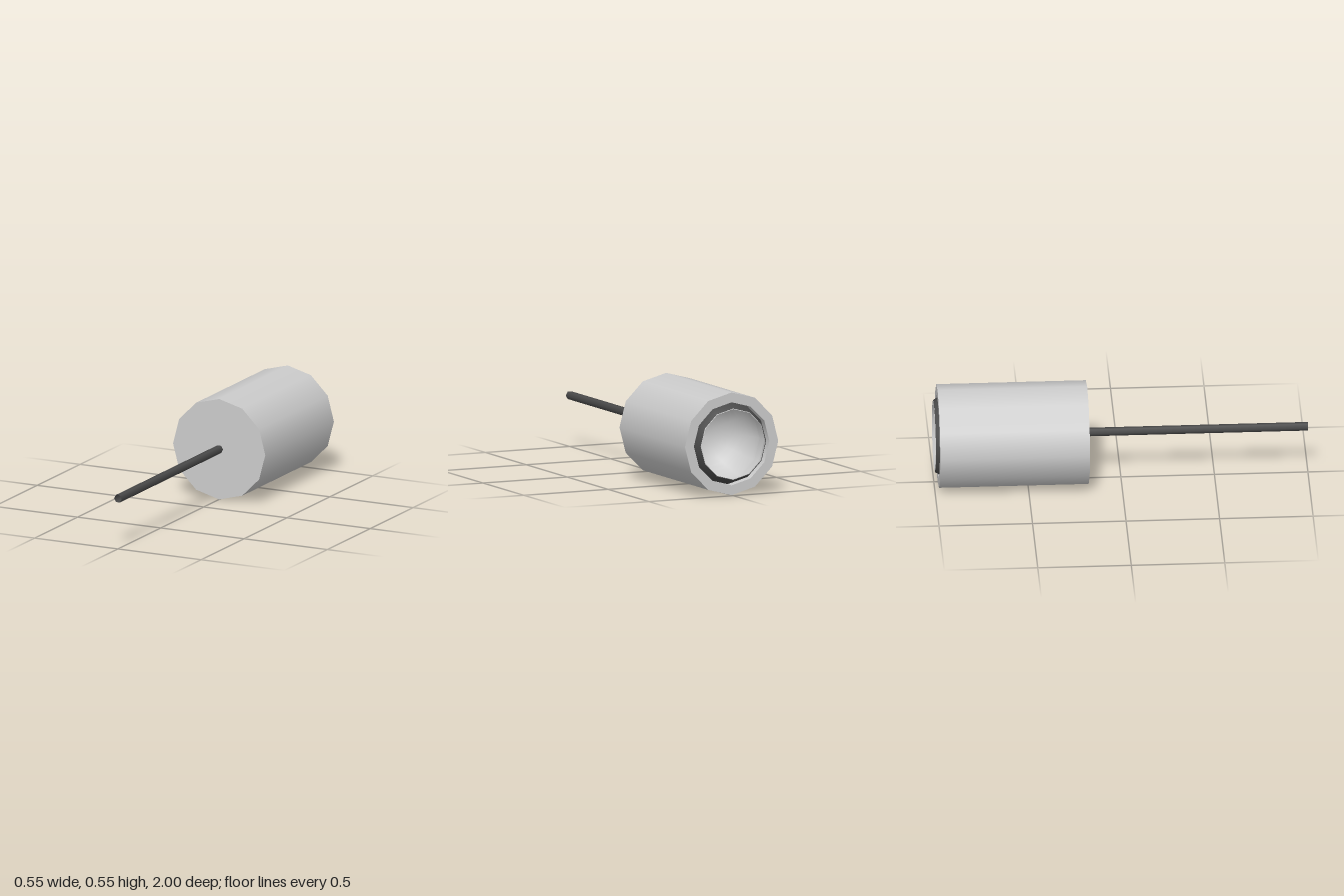
import * as THREE from 'three';

export function createModel() {
  const model = new THREE.Group();
  model.name = 'cannedLampWithRod';
  const grey = new THREE.MeshStandardMaterial({ color: 0xcccccc, side: THREE.DoubleSide });
  grey.name = 'light grey';
  const dark = new THREE.MeshStandardMaterial({ color: 0x4a4a4a, side: THREE.DoubleSide });
  dark.name = 'dark grey';

  const SIDES = 12, R = 0.277, HOLE = 0.224, FRONT = -0.18, BACK = -0.98;

  const add = (name, geometry, material, z = 0) => {
    const mesh = new THREE.Mesh(geometry, material);
    mesh.name = name;
    mesh.position.set(0, R, z);
    model.add(mesh);
  };
  // Open tube along z between two z values
  const tube = (r, z0, z1, sides, start = 0) =>
    new THREE.CylinderGeometry(r, r, Math.abs(z1 - z0), sides, 1, true, start)
      .rotateX(-Math.PI / 2).translate(0, 0, (z0 + z1) / 2);

  // Housing: smooth side wall, flat front, ring-shaped back and recess
  add('housingWall', tube(R, FRONT, BACK, SIDES), grey);
  add('housingFront', new THREE.CircleGeometry(R, SIDES), grey, FRONT);
  add('housingBackRing', new THREE.RingGeometry(HOLE, R, SIDES).rotateY(Math.PI), grey, BACK);
  add('recessWall', tube(HOLE, BACK, BACK + 0.12, SIDES), grey);

  // Bowl: part of a sphere, open at the back with a mouth radius of 0.19
  const bowlRadius = 0.23, mouth = 0.19;
  const mouthDepth = Math.sqrt(bowlRadius ** 2 - mouth ** 2);
  const mouthAngle = Math.asin(mouth / bowlRadius);
  const arc = (radius, from, to, steps) => {
    const points = [];
    for (let i = 0; i <= steps; i++) {
      const a = from + (to - from) * i / steps;
      points.push(new THREE.Vector2(Math.max(radius * Math.sin(a), 0), radius * Math.cos(a)));
    }
    return new THREE.LatheGeometry(points, SIDES).rotateX(-Math.PI / 2);
  };
  add('bowl', arc(bowlRadius, mouthAngle, Math.PI, 14), grey, mouthDepth - 1);

  // Dark outer skin of the bowl near its mouth
  add('bowlOuterBand', arc(bowlRadius + 0.002, mouthAngle + 0.01, mouthAngle + 0.4, 4), dark, mouthDepth - 1);

  // Hexagonal rod with an open end
  const rod = tube(0.023, 1, FRONT, 6, Math.PI / 6);
  add('rod', rod, dark);

  return model;
}
